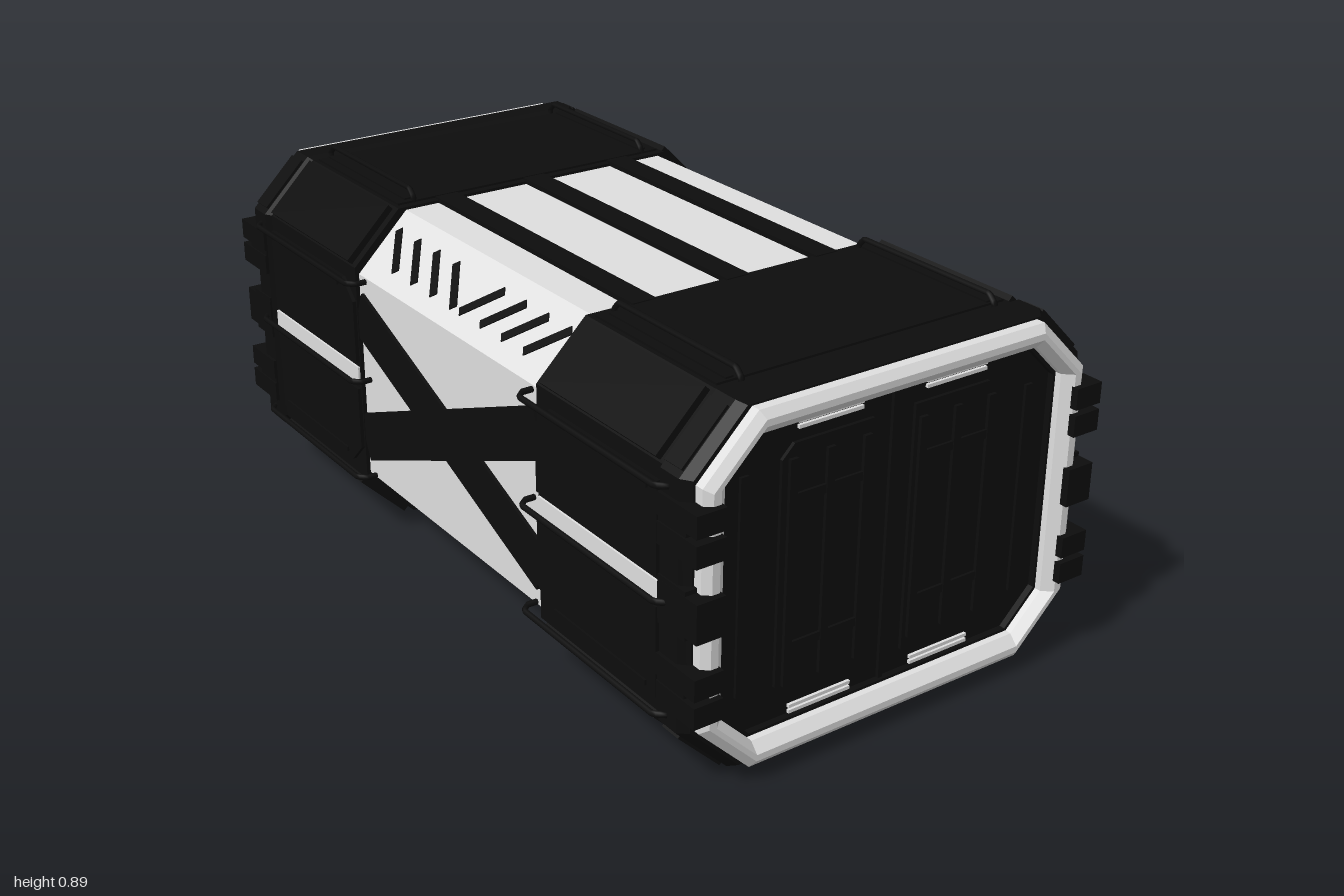
import * as THREE from 'three';

const white = new THREE.MeshStandardMaterial({ color: 0xe0e0e0 });
white.name = 'offWhite';
const black = new THREE.MeshStandardMaterial({ color: 0x0d0d0d });
black.name = 'black';

function add(parent, name, geometry, material, x = 0, y = 0, z = 0) {
  const mesh = new THREE.Mesh(geometry, material);
  mesh.name = name;
  mesh.position.set(x, y, z);
  parent.add(mesh);
  return mesh;
}

function box(parent, name, material, [w, h, d], [x, y, z]) {
  return add(parent, name, new THREE.BoxGeometry(w, h, d), material, x, y, z);
}

// Chamfered rectangle with half width w, half height h and corner cut c
function octagon(w, h, c) {
  return [[w, c - h], [w, h - c], [w - c, h], [c - w, h],
    [-w, h - c], [-w, c - h], [c - w, -h], [w - c, -h]];
}

// Flat-shaded skin through octagons [z, w, h, c]
function loft(sections, closed = true) {
  const rings = sections.map(([z, w, h, c]) => octagon(w, h, c).map(([x, y]) => [x, y, z]));
  const pos = [];
  const tri = (...corners) => corners.forEach((p) => pos.push(...p));
  for (let i = 0; i < rings.length - 1; i++) {
    const a = rings[i], b = rings[i + 1];
    for (let j = 0; j < 8; j++) {
      const k = (j + 1) % 8;
      tri(a[j], a[k], b[k]);
      tri(a[j], b[k], b[j]);
    }
  }
  if (closed) {
    const a = rings[0], b = rings[rings.length - 1];
    for (let j = 0; j < 8; j++) {
      const k = (j + 1) % 8;
      tri([0, 0, a[0][2]], a[k], a[j]);
      tri([0, 0, b[0][2]], b[j], b[k]);
    }
  }
  const g = new THREE.BufferGeometry();
  g.setAttribute('position', new THREE.Float32BufferAttribute(pos, 3));
  g.computeVertexNormals();
  return g;
}

function plate(points, depth) {
  const shape = new THREE.Shape(points.map(([x, y]) => new THREE.Vector2(x, y)));
  return new THREE.ExtrudeGeometry(shape, { depth, bevelEnabled: false });
}

// Bent rod handle standing off a surface; u is the outward distance
function handle(z0, z1, base, reach) {
  const b = 0.018;
  const pts = [[base, z0], [reach - b, z0], [reach, z0 + b], [reach, z1 - b], [reach - b, z1], [base, z1]];
  const path = new THREE.CurvePath();
  const v = pts.map(([u, z]) => new THREE.Vector3(u, 0, z));
  for (let i = 0; i < v.length - 1; i++) path.add(new THREE.LineCurve3(v[i], v[i + 1]));
  return new THREE.TubeGeometry(path, 60, 0.007, 6);
}

function buildMiddle(parent) {
  add(parent, 'middleBody', loft([[-0.42, 0.505, 0.4, 0.135], [0.42, 0.505, 0.4, 0.135]]), white);
  for (const sy of [-1, 1]) {
    for (const x of [-0.25, 0, 0.25]) {
      box(parent, 'longBar', black, [0.06, 0.02, 0.84], [x, sy * 0.402, 0]);
    }
  }
  for (const sx of [-1, 1]) {
    // Crossed braces on each side
    for (const s of [-1, 1]) {
      box(parent, 'crossBrace', black, [0.014, 0.12, 0.88], [sx * 0.506, 0, 0]).rotation.x = s * 0.389;
    }
    // Painted diagonal stripes on the chamfers
    for (const sy of [-1, 1]) {
      const band = new THREE.Group();
      band.name = 'stripeBand';
      band.position.set(sx * 0.4375, sy * 0.3325, 0);
      band.rotation.z = Math.atan2(sy, sx);
      for (const s of [-1, 1]) {
        for (let i = 0; i < 4; i++) {
          const stripe = box(band, 'stripe', black, [0.005, 0.13, 0.022], [0, 0, s * (0.06 + i * 0.09)]);
          stripe.rotation.x = s * sx * Math.PI / 4;
        }
      }
      parent.add(band);
    }
  }
}

function buildDoor(end) {
  add(end, 'doorPanel', loft([[0.9, 0.46, 0.36, 0.085], [0.935, 0.46, 0.36, 0.085]]), black);
  box(end, 'doorSeam', black, [0.012, 0.69, 0.012], [0, 0, 0.937]);
  for (const s of [-1, 1]) {
    // Raised leaf with ribs
    const leaf = [[0.055, -0.29], [0.26, -0.29], [0.29, -0.26], [0.29, 0.26], [0.26, 0.29], [0.055, 0.29]];
    add(end, 'doorLeaf', plate(leaf.map(([x, y]) => [s * x, y]), 0.008), black, 0, 0, 0.935);
    for (const x of [0.075, 0.17, 0.265]) {
      box(end, 'doorRib', black, [0.02, 0.52, 0.012], [s * x, 0, 0.945]);
    }
    for (const sy of [-1, 1]) {
      box(end, 'doorCrossRib', black, [0.19, 0.02, 0.01], [s * 0.17, sy * 0.17, 0.944]);
      for (const y of [0.321, 0.334]) {
        box(end, 'doorSlit', white, [0.165, 0.008, 0.008], [s * 0.167, sy * y, 0.938]);
      }
    }
    box(end, 'doorSideRib', black, [0.02, 0.5, 0.01], [s * 0.38, 0, 0.937]);
  }
}

function buildEnd(parent, angle, name) {
  const end = new THREE.Group();
  end.name = name;
  end.rotation.y = angle;
  parent.add(end);

  // Outer sleeve with a raised collar
  add(end, 'sleeve', loft([
    [0.405, 0.515, 0.407, 0.125], [0.86, 0.515, 0.407, 0.125], [0.87, 0.53, 0.415, 0.13],
    [0.93, 0.53, 0.415, 0.13], [0.95, 0.51, 0.407, 0.125], [0.95, 0.44, 0.34, 0.08],
    [0.9, 0.44, 0.34, 0.08]]), black);

  // Stepped pale rim
  add(end, 'rim', loft([
    [0.93, 0.505, 0.403, 0.13], [0.972, 0.505, 0.403, 0.13], [0.986, 0.488, 0.385, 0.122],
    [0.986, 0.47, 0.37, 0.105], [0.965, 0.447, 0.347, 0.082], [0.92, 0.445, 0.345, 0.08]], false), white);
  buildDoor(end);

  for (const sy of [-1, 1]) {
    // Top and bottom panels
    box(end, 'flatPanel', black, [0.76, 0.008, 0.42], [0, sy * 0.408, 0.635]);
    for (const sx of [-1, 1]) {
      box(end, 'panelEdge', black, [0.02, 0.012, 0.4], [sx * 0.345, sy * 0.41, 0.64]);
      const rod = add(end, 'flatHandle', handle(0.43, 0.865, 0.4, 0.436), black, sx * 0.335);
      rod.rotation.z = sy * Math.PI / 2;
    }
  }

  for (const sx of [-1, 1]) {
    box(end, 'sideStrip', white, [0.008, 0.044, 0.455], [sx * 0.516, 0, 0.6375]);
    for (const sy of [-1, 1]) {
      // Chamfer pad and side panel with a cut corner
      const pad = box(end, 'cornerPad', black, [0.03, 0.165, 0.42], [sx * 0.4545, sy * 0.3445, 0.635]);
      pad.rotation.z = Math.atan2(sy, sx);
      const collarPad = box(end, 'collarPad', black, [0.03, 0.15, 0.055], [sx * 0.459, sy * 0.344, 0.9]);
      collarPad.rotation.z = Math.atan2(sy, sx);
      const outline = [[0.41, 0.035], [0.85, 0.035], [0.85, 0.245], [0.46, 0.245], [0.41, 0.195]];
      const g = plate(outline.map(([z, y]) => [z, sy * y]), 0.009);
      g.rotateY(-Math.PI / 2);
      add(end, 'sidePanel', g, black, sx > 0 ? 0.524 : -0.515);
      box(end, 'panelRidge', black, [0.01, 0.012, 0.34], [sx * 0.524, sy * 0.225, 0.65]);
    }
    for (const y of [-0.26, 0, 0.255]) {
      const rod = add(end, 'sideHandle', handle(0.373, 0.895, 0.5, 0.549), black, 0, y);
      rod.scale.x = sx;
      if (sx < 0) { // turned instead of mirrored
        rod.scale.x = 1;
        rod.rotation.z = Math.PI;
      }
    }
    // Latches gripping the rim
    for (const y of [-0.18, 0, 0.18]) {
      box(end, 'latchBase', black, [0.04, 0.11, 0.09], [sx * 0.514, y, 0.915]);
      if (y === 0) {
        box(end, 'latchHook', black, [0.07, 0.09, 0.13], [sx * 0.5, y, 0.935]);
      } else {
        for (const s of [-1, 1]) {
          box(end, 'latchHook', black, [0.072, 0.05, 0.13], [sx * 0.502, y + s * 0.032, 0.935]);
        }
      }
    }
  }
}

export function createModel() {
  const model = new THREE.Group();
  model.name = 'cargoContainer';
  const body = new THREE.Group();
  body.name = 'container';
  body.position.y = 0.443;
  model.add(body);
  buildMiddle(body);
  buildEnd(body, 0, 'frontEnd');
  buildEnd(body, Math.PI, 'backEnd');
  return model;
}
